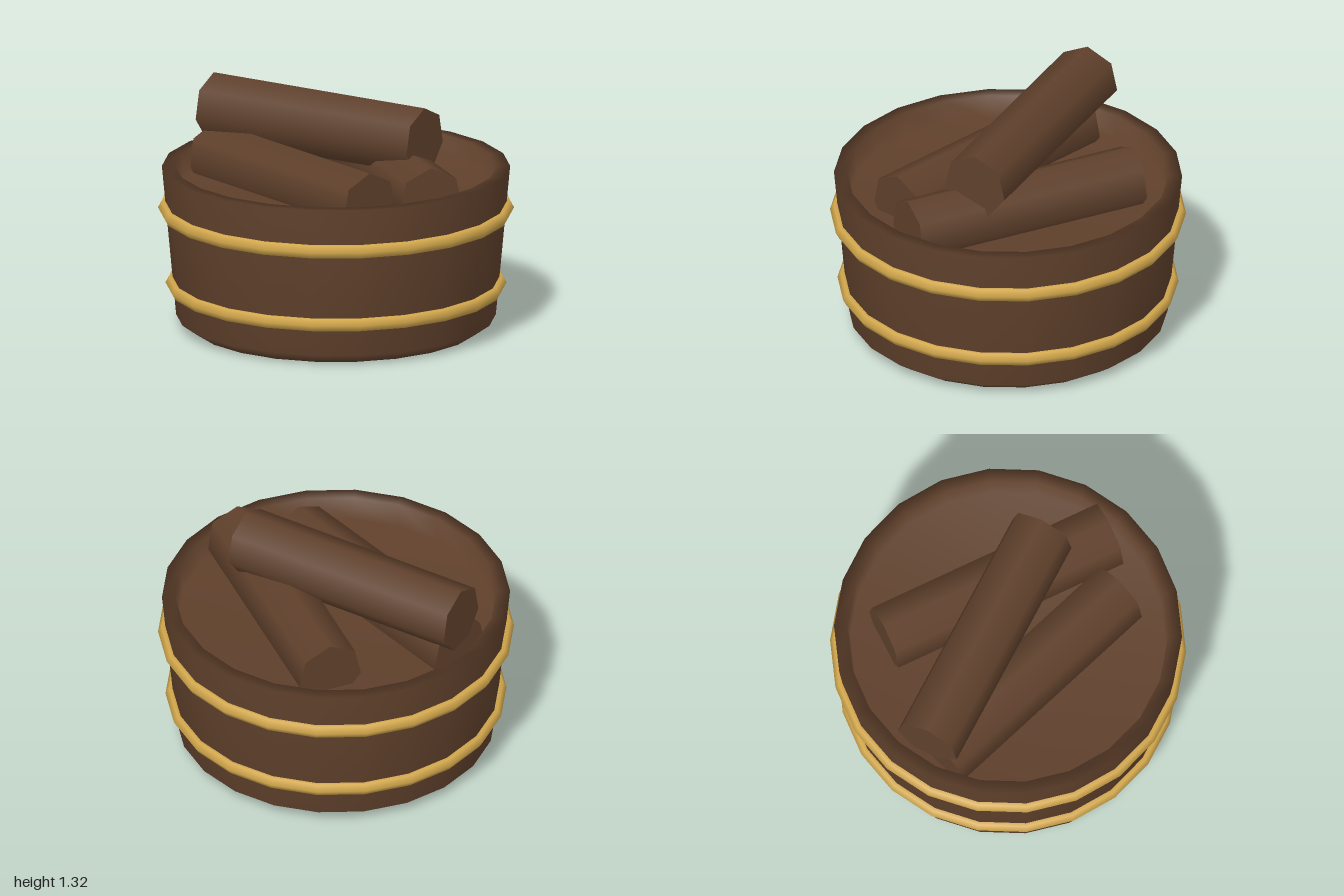
import * as THREE from 'three';

const SIDES = 22;

export function createModel() {
  const model = new THREE.Group();
  const wood = new THREE.MeshStandardMaterial({ color: 0x5f402b });
  const brass = new THREE.MeshStandardMaterial({ color: 0xd2a74c });

  function add(name, geometry, material) {
    const mesh = new THREE.Mesh(geometry, material);
    mesh.name = name;
    model.add(mesh);
    return mesh;
  }

  // Tub: outer wall, flat rim and shallow inner floor in one turned profile
  const profile = [
    [0, 0], [0.81, 0], [0.895, 0.06], [0.975, 0.92],
    [0.9, 0.92], [0.885, 0.78], [0, 0.78],
  ].map(([r, y]) => new THREE.Vector2(r, y));
  add('tub', new THREE.LatheGeometry(profile, SIDES, Math.PI / 2), wood);

  // Metal hoops around the tub
  const hoops = [
    ['lowerHoop', 0.915, 0.04, 0.245],
    ['upperHoop', 0.955, 0.042, 0.68],
  ];
  for (const [name, radius, tube, y] of hoops) {
    const hoop = add(name, new THREE.TorusGeometry(radius, tube, 6, SIDES), brass);
    hoop.rotation.x = -Math.PI / 2;
    hoop.position.y = y;
  }

  // Seven-sided logs, each laid level between two end points (x, z)
  const logs = [
    ['leftLog', [0.11, 0.815], [0.42, -0.555], 0.885],
    ['rightLog', [-0.19, 0.645], [-0.32, -0.76], 0.86],
    ['topLog', [0.285, 0.475], [-0.29, -0.815], 1.13],
  ];
  for (const [name, [x1, z1], [x2, z2], y] of logs) {
    const length = Math.hypot(x2 - x1, z2 - z1);
    const geometry = new THREE.CylinderGeometry(0.19, 0.19, length, 7);
    geometry.rotateX(-Math.PI / 2); // axis along z, one ridge on top
    const log = add(name, geometry, wood);
    log.rotation.y = Math.atan2(x1 - x2, z1 - z2);
    log.position.set((x1 + x2) / 2, y, (z1 + z2) / 2);
  }

  return model;
}
